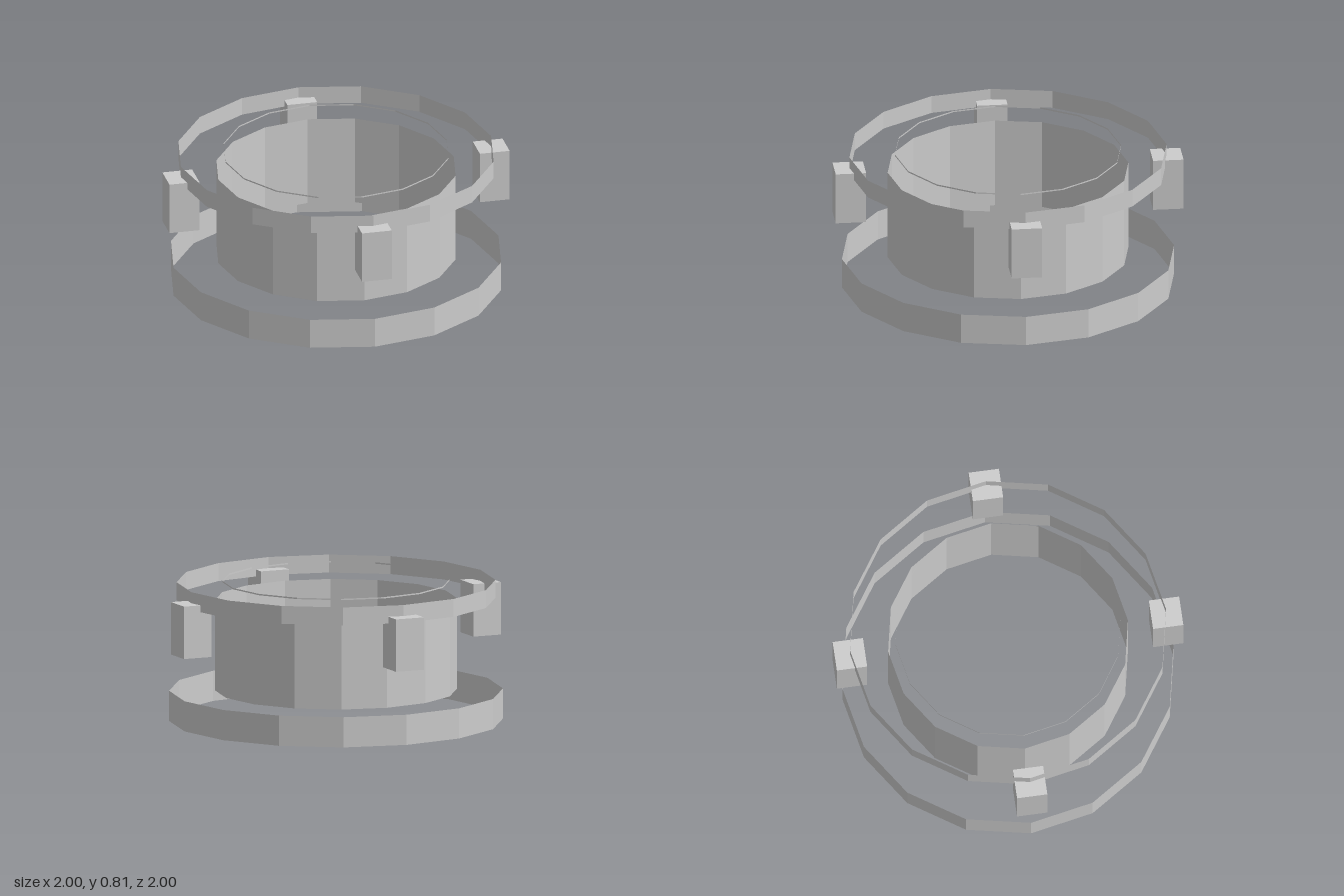
import * as THREE from 'three';

export function createModel() {
  const model = new THREE.Group();
  const grey = new THREE.MeshStandardMaterial({ color: 0xcccccc, flatShading: true, side: THREE.DoubleSide });
  grey.name = 'plain grey';

  // Open sixteen-sided bands: name, radius, bottom, top
  const bands = [
    ['baseBand', 0.955, 0, 0.175],
    ['bodyWall', 0.692, 0.175, 0.7],
    ['rimBand', 0.912, 0.7, 0.804],
    ['innerLip', 0.65, 0.802, 0.81],
  ];
  for (const [name, radius, bottom, top] of bands) {
    const band = new THREE.Mesh(
      new THREE.CylinderGeometry(radius, radius, top - bottom, 16, 1, true), grey);
    band.position.y = (bottom + top) / 2;
    band.name = name;
    model.add(band);
  }

  // Four blocks spaced evenly around the rim
  const blockGeometry = new THREE.BoxGeometry(0.175, 0.304, 0.175);
  ['frontBlock', 'leftBlock', 'backBlock', 'rightBlock'].forEach((name, i) => {
    const angle = i * Math.PI / 2;
    const block = new THREE.Mesh(blockGeometry, grey);
    block.position.set(Math.sin(angle) * 0.9125, 0.588, Math.cos(angle) * 0.9125);
    block.rotation.y = angle;
    block.name = name;
    model.add(block);
  });

  return model;
}
